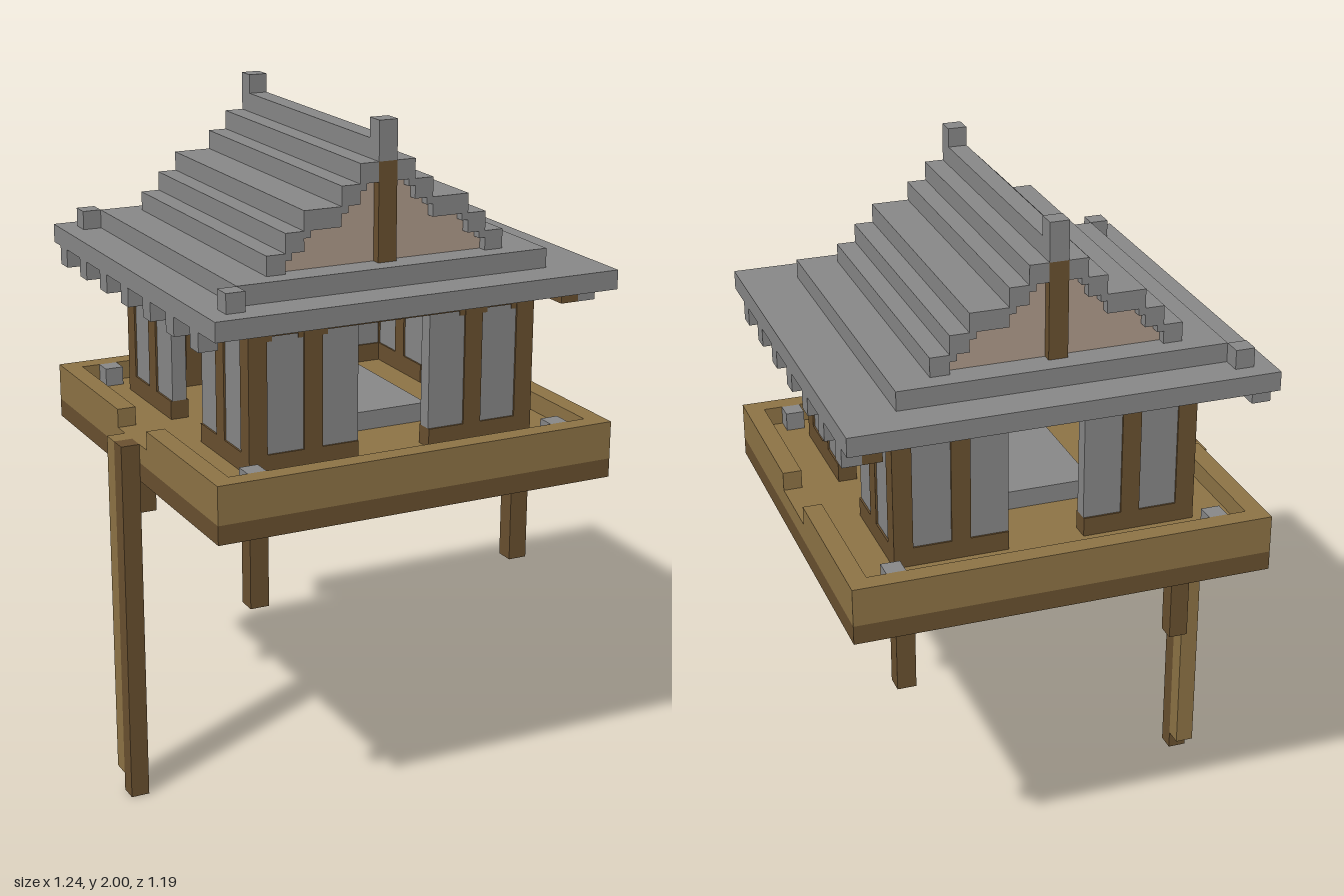
import * as THREE from 'three';

const U = 2 / 37; // one block of the grid
const paint = (name, color) => {
  const m = new THREE.MeshStandardMaterial({ color });
  m.name = name;
  return m;
};

export function createModel() {
  const model = new THREE.Group();
  const brown = paint('dark wood', 0x6a5130);
  const tan = paint('light wood', 0x8e7446);
  const grey = paint('stone grey', 0x888888);
  const plaster = paint('pink plaster', 0xb09c8c);

  // Box between block coordinates; the grid is 23 wide and 22 deep
  const box = (name, mat, x0, x1, y0, y1, z0, z1, parent = model) => {
    const mesh = new THREE.Mesh(new THREE.BoxGeometry((x1 - x0) * U, (y1 - y0) * U, (z1 - z0) * U), mat);
    mesh.position.set(((x0 + x1) / 2 - 11.5) * U, ((y0 + y1) / 2) * U, ((z0 + z1) / 2 - 11) * U);
    mesh.name = name;
    parent.add(mesh);
    return mesh;
  };
  // Rectangular frame with border widths bx and bz
  const ring = (name, mat, x0, x1, y0, y1, z0, z1, bx, bz = bx) => {
    box(name, mat, x0, x1, y0, y1, z0, z0 + bz);
    box(name, mat, x0, x1, y0, y1, z1 - bz, z1);
    box(name, mat, x0, x0 + bx, y0, y1, z0 + bz, z1 - bz);
    box(name, mat, x1 - bx, x1, y0, y1, z0 + bz, z1 - bz);
  };

  // Ladder post beside the platform
  box('postFront', brown, 0, 1, 0, 20, 11, 12);
  box('postBack', tan, 0, 1, 1, 20, 10, 11);

  // Platform: lower rim, floor and railing with a notch on each side
  ring('platformRim', brown, 1, 23, 18, 19, 0, 22, 1);
  box('floor', tan, 1, 23, 19, 20, 0, 22);
  for (const z of [0, 21]) box('railing', tan, 1, 23, 20, 21, z, z + 1);
  for (const x of [1, 22]) {
    box('sideRailing', tan, x, x + 1, 20, 21, 1, 9);
    box('sideRailing', tan, x, x + 1, 20, 21, 13, 21);
  }
  for (const x of [4, 19]) for (const z of [3, 18]) box('foot', brown, x, x + 1, 13, 19, z, z + 1);
  for (const x of [3, 20]) for (const z of [1, 20]) box('cornerBlock', grey, x, x + 1, 20, 21, z, z + 1);
  box('tableSlab', grey, 8, 16, 20, 21, 7, 15);

  // Walls: each side has two panelled halves around an opening
  for (let side = 0; side < 4; side++) {
    const wall = new THREE.Group();
    wall.name = 'wall';
    // Built around the grid centre facing +z, then turned into place
    const b = (name, mat, a0, a1, y0, y1, d0, d1) =>
      box(name, mat, 11.5 + a0, 11.5 + a1, y0, y1, 11 + d0, 11 + d1, wall);
    for (const s of [-1, 1]) {
      const part = (name, mat, a0, a1, y0, y1, d0, d1) =>
        b(name, mat, Math.min(s * a0, s * a1), Math.max(s * a0, s * a1), y0, y1, d0, d1);
      if (s > 0) part('cornerPost', brown, 7, 8, 20, 27, 7, 8);
      part('middlePost', brown, 4, 5, 20, 27, 7, 8);
      for (const a of [2, 5]) {
        part('wallBase', brown, a, a + 2, 20, 21, 7, 8);
        part('panel', grey, a, a + 2, 21, 27, 7.1, 7.9);
      }
      // small brackets under the beam
      for (const a of [3.7, 5, 6.7]) part('bracket', brown, a, a + 0.3, 26.75, 27, 7.05, 7.95);
    }
    b('topBeam', brown, -7, 8, 27, 28, 7, 8);
    wall.rotation.y = (side * Math.PI) / 2;
    wall.position.x = 0.5 * U;
    model.add(wall);
  }

  // Eaves: rafter ends along both long sides
  for (const x of [1, 22]) for (let z = 1; z < 20; z += 3) box('rafterEnd', grey, x, x + 1, 27, 28, z, z + 1);
  box('eaveBeam', brown, 21, 22, 27, 28, 1, 20);

  // Lower roof tiers, open in the middle
  ring('eaves', grey, 1, 23, 28, 29, 0, 22, 5, 4);
  ring('upperEaves', grey, 3, 20, 29, 30, 2, 20, 3, 2);
  for (const z of [1, 20]) box('roofCornerBlock', grey, 2, 3, 29, 30, z, z + 1);

  // Stepped gable roof: inner and outer half width of each layer
  const steps = [[5.5, 6.5], [4.5, 5.5], [2.5, 4.5], [1.5, 2.5], [0.5, 1.5]];
  steps.forEach(([inner, outer], n) => {
    const y = 30 + n;
    box('roofStep', grey, 11.5 + inner, 11.5 + outer, y, y + 1, 3, 19);
    box('roofStep', grey, 11.5 - outer, 11.5 - inner, y, y + 1, 3, 19);
    // plaster gables and the little corner fillets under each step
    for (const z of [3.5, 18]) {
      box('gable', plaster, 11.5 - inner, 11.5 + inner, y, y + 1, z, z + 0.5);
    }
    if (n < 4) for (const z of [3, 18.5]) {
      box('gableFillet', grey, 11.5 + inner - 0.35, 11.5 + inner, y + 0.65, y + 1, z, z + 0.5);
      box('gableFillet', grey, 11.5 - inner, 11.5 - inner + 0.35, y + 0.65, y + 1, z, z + 0.5);
    }
  });
  box('ridge', grey, 11, 12, 35, 36, 3, 19);
  for (const z of [3, 18]) {
    box('gablePost', brown, 11, 12, 30, 35, z, z + 1);
    box('ridgeEnd', grey, 11, 12, 36, 37, z, z + 1);
  }
  return model;
}
